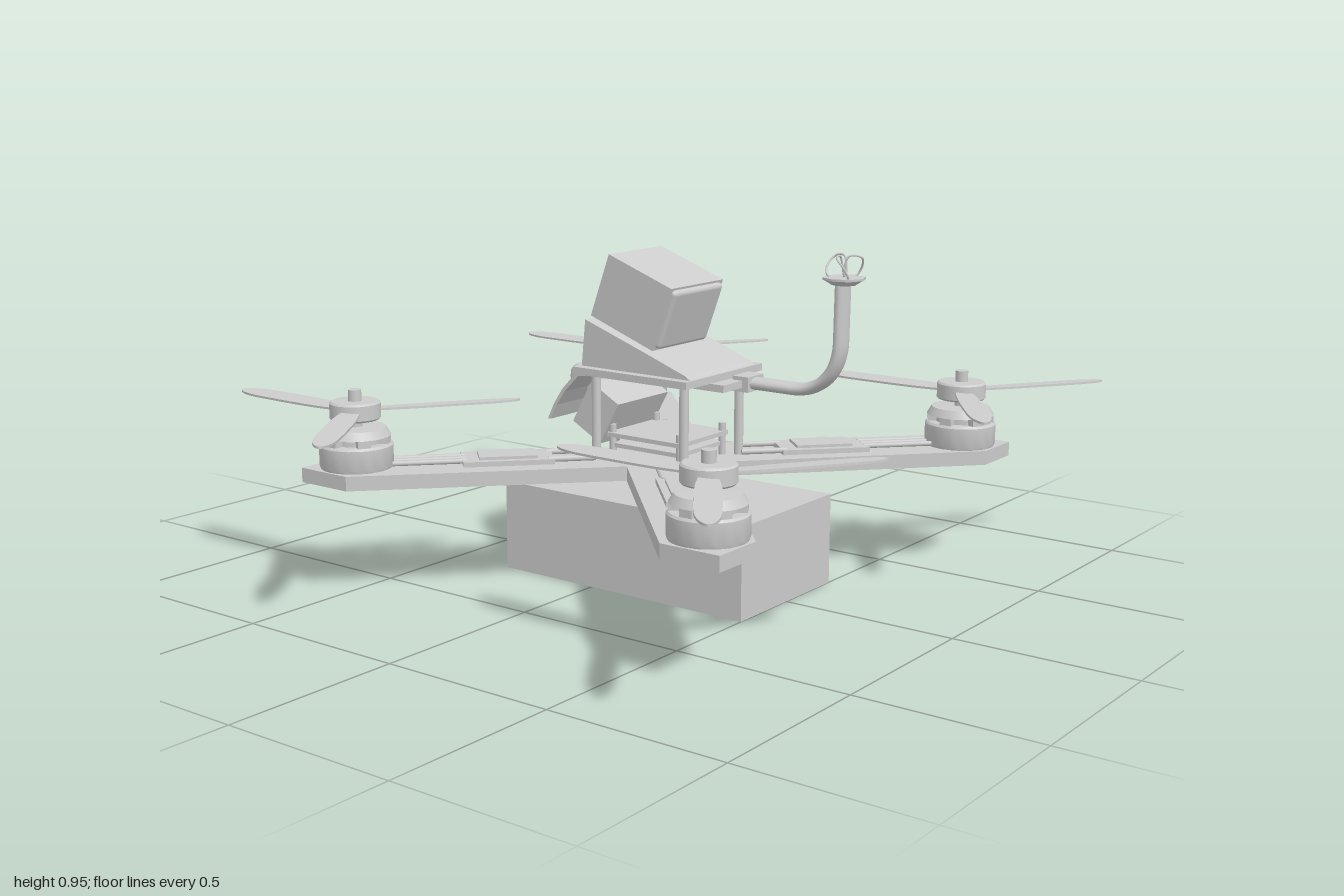
import * as THREE from 'three';
import { toCreasedNormals } from 'three/addons/utils/BufferGeometryUtils.js';
import { RoundedBoxGeometry } from 'three/addons/geometries/RoundedBoxGeometry.js';

const mat = new THREE.MeshStandardMaterial({ color: 0xcccccc, side: THREE.DoubleSide });
const V = (x, y, z) => new THREE.Vector3(x, y, z);
const P = (pts) => pts.map(([x, y]) => new THREE.Vector2(x, y));

function add(parent, name, geo, x = 0, y = 0, z = 0) {
  const m = new THREE.Mesh(geo, mat);
  m.name = name;
  m.position.set(x, y, z);
  parent.add(m);
  return m;
}
function group(parent, name, x = 0, y = 0, z = 0) {
  const g = new THREE.Group();
  g.name = name;
  g.position.set(x, y, z);
  parent.add(g);
  return g;
}
const box = (w, h, d) => new THREE.BoxGeometry(w, h, d);
const cyl = (r, h, n = 20, r2 = r) => new THREE.CylinderGeometry(r, r2, h, n);
const lathe = (pts, n = 32) => toCreasedNormals(new THREE.LatheGeometry(P(pts), n), 0.6);
// side profile given as (z, y), extruded across x
const sideExtrude = (pts, width) =>
  new THREE.ExtrudeGeometry(new THREE.Shape(P(pts)), { depth: width, bevelEnabled: false })
    .rotateY(-Math.PI / 2).translate(width / 2, 0, 0);

// One propeller blade pointing to -z
function bladeGeometry() {
  const s = new THREE.Shape();
  s.moveTo(-0.018, 0.03);
  s.bezierCurveTo(-0.034, 0.1, -0.034, 0.2, -0.031, 0.36);
  s.bezierCurveTo(-0.029, 0.41, -0.018, 0.45, 0, 0.458);
  s.bezierCurveTo(0.018, 0.45, 0.029, 0.41, 0.031, 0.36);
  s.bezierCurveTo(0.034, 0.2, 0.034, 0.1, 0.018, 0.03);
  const g = new THREE.ExtrudeGeometry(s, { depth: 0.006, bevelEnabled: false, curveSegments: 10 });
  return g.translate(0, 0, -0.003).rotateX(-Math.PI / 2).rotateZ(0.08);
}

function buildMotor(parent, x, z) {
  const motor = group(parent, 'motor', x, 0.35, z);
  add(motor, 'motorBase', lathe([[0, 0], [0.097, 0], [0.1, 0.008], [0.1, 0.062], [0.095, 0.068], [0, 0.068]]));
  add(motor, 'motorCore', cyl(0.07, 0.03), 0, 0.08, 0);
  add(motor, 'motorCap', lathe([[0, 0.088], [0.095, 0.088], [0.082, 0.11], [0.03, 0.112], [0, 0.112]]));
  // struts leave cooling slots around the bell
  for (let i = 0; i < 6; i++) {
    const a = (i * Math.PI) / 3;
    const strut = add(motor, 'bellStrut', box(0.025, 0.024, 0.035), 0.08 * Math.cos(a), 0.078, 0.08 * Math.sin(a));
    strut.rotation.y = -a;
  }
  add(motor, 'shaft', cyl(0.018, 0.11), 0, 0.158, 0);

  const prop = group(motor, 'propeller', 0, 0.157, 0);
  add(prop, 'propellerHub', lathe([[0, -0.025], [0.064, -0.025], [0.069, -0.02], [0.069, 0.02], [0.064, 0.025], [0, 0.025]]));
  const blade = bladeGeometry();
  for (const a of [0, 2.18, -2.18]) add(prop, 'blade', blade).rotation.y = a;
}

// Speed controller with its wires, lying along an arm
function buildController(parent, sx, sz) {
  const g = group(parent, 'speedController', 0, 0.35, 0.095);
  g.rotation.y = Math.atan2(-sz * 0.585, sx * 0.625);
  add(g, 'controllerBoard', box(0.25, 0.014, 0.13), 0.445, 0.007, 0);
  add(g, 'controllerChip', box(0.16, 0.008, 0.09), 0.445, 0.018, 0);
  for (const w of [-0.03, 0, 0.03]) add(g, 'motorWire', cyl(0.007, 0.2, 8), 0.66, 0.01, w).rotation.z = Math.PI / 2;
  for (const w of [-0.045, 0.045]) add(g, 'powerWire', cyl(0.008, 0.13, 8), 0.27, 0.01, w).rotation.z = Math.PI / 2;
}

function buildFrame(root) {
  // X-shaped base plate with square corners
  const h = [[0.18, 0], [0.727, 0.52], [0.727, 0.69], [0.58, 0.69], [0, 0.155]];
  const q1 = h.slice(0, 4);
  const mirrorX = h.slice(1, 5).reverse().map(([x, y]) => [-x, y]);
  const upper = [...q1, ...mirrorX];
  const lower = upper.map(([x, y]) => [-x, -y]);
  const shape = new THREE.Shape(P([...upper, ...lower]));
  const geo = new THREE.ExtrudeGeometry(shape, { depth: 0.04, bevelEnabled: false }).rotateX(-Math.PI / 2);
  add(root, 'armFrame', geo, 0, 0.31, 0.095);

  for (const sx of [-1, 1]) {
    for (const sz of [-1, 1]) {
      buildMotor(root, sx * 0.623, 0.095 + sz * 0.585);
      buildController(root, sx, sz);
      add(root, 'standoff', cyl(0.013, 0.24, 12), sx * 0.13, 0.465, 0.1 + sz * 0.15);
      add(root, 'boardSpacer', cyl(0.01, 0.09, 10), sx * 0.1, 0.395, 0.1 + sz * 0.115);
    }
  }
  add(root, 'flightBoard', box(0.23, 0.012, 0.25), 0, 0.412, 0.1);
  add(root, 'powerBoard', box(0.21, 0.012, 0.23), 0, 0.382, 0.1);
  add(root, 'topPlate', box(0.36, 0.02, 0.385), 0, 0.595, 0.1);
  add(root, 'battery', box(0.435, 0.255, 0.81), 0, 0.1275, 0.095);
}

// Box camera on a wedge, looking forward and down
function buildTopCamera(root) {
  add(root, 'cameraWedge', sideExtrude([[0.285, 0.605], [0.27, 0.615], [0.145, 0.66], [-0.07, 0.735], [-0.083, 0.605]], 0.305));
  const cam = group(root, 'topCamera', 0, 0.788, 0.066);
  cam.rotation.x = 0.35;
  add(cam, 'cameraBody', box(0.24, 0.185, 0.225), 0, 0, -0.005);
  add(cam, 'cameraFace', new RoundedBoxGeometry(0.225, 0.172, 0.03, 3, 0.012), 0, 0, 0.107);
}

// Small tilted camera under the top plate at the back
function buildRearCamera(root) {
  const shield = [[-0.085, 0.585], [-0.115, 0.582], [-0.17, 0.525], [-0.2, 0.48], [-0.222, 0.435],
    [-0.212, 0.435], [-0.19, 0.478], [-0.16, 0.52], [-0.11, 0.57], [-0.085, 0.573]];
  add(root, 'cameraShield', sideExtrude(shield, 0.27));
  const cam = group(root, 'rearCamera', 0, 0.47, -0.07);
  cam.rotation.x = -Math.PI / 2 + 0.5; // local y runs along the view axis
  add(cam, 'rearCameraBody', box(0.23, 0.11, 0.135), 0, -0.005, 0);
  add(cam, 'lensMount', lathe([[0.06, 0.05], [0.045, 0.08], [0.03, 0.09], [0.03, 0.125], [0, 0.125]], 24));
  add(cam, 'lens', lathe([[0, 0.12], [0.036, 0.12], [0.046, 0.13], [0.046, 0.15], [0.036, 0.155],
    [0.03, 0.172], [0.018, 0.184], [0, 0.188]], 24));
}

function buildAntenna(root) {
  add(root, 'antennaBracket', box(0.17, 0.02, 0.275), 0.015, 0.575, 0.1975);
  const path = new THREE.CurvePath();
  path.add(new THREE.LineCurve3(V(0, 0.575, 0.3), V(0, 0.575, 0.48)));
  path.add(new THREE.CubicBezierCurve3(V(0, 0.575, 0.48), V(0, 0.575, 0.56), V(0, 0.63, 0.62), V(0, 0.72, 0.62)));
  path.add(new THREE.LineCurve3(V(0, 0.72, 0.62), V(0, 0.87, 0.622)));
  const tube = new THREE.TubeGeometry(path, 50, 0.017, 16).scale(1.75, 1, 1);
  add(root, 'antennaTube', tube, 0.055, 0, 0);
  add(root, 'tubeCollar', box(0.075, 0.042, 0.05), 0.055, 0.575, 0.33);

  const head = group(root, 'antennaHead', 0.055, 0.866, 0.625);
  add(head, 'antennaDisc', toCreasedNormals(new THREE.CylinderGeometry(0.055, 0.032, 0.014, 8), 0.4), 0, 0.007, 0);
  add(head, 'antennaDiscTop', cyl(0.057, 0.006, 8), 0, 0.017, 0);
  // three tilted wire lobes meeting in the middle
  const lobe = new THREE.CatmullRomCurve3(
    [V(0, 0.02, 0), V(0.042, 0.022, 0.012), V(0.046, 0.045, 0.025), V(0.024, 0.072, 0.036), V(0, 0.074, 0.012)], true);
  const wire = new THREE.TubeGeometry(lobe, 36, 0.003, 6, true);
  for (let i = 0; i < 3; i++) add(head, 'antennaLobe', wire).rotation.y = (i * Math.PI * 2) / 3;
}

export function createModel() {
  const root = new THREE.Group();
  root.name = 'quadcopter';
  buildFrame(root);
  buildTopCamera(root);
  buildRearCamera(root);
  buildAntenna(root);
  return root;
}
